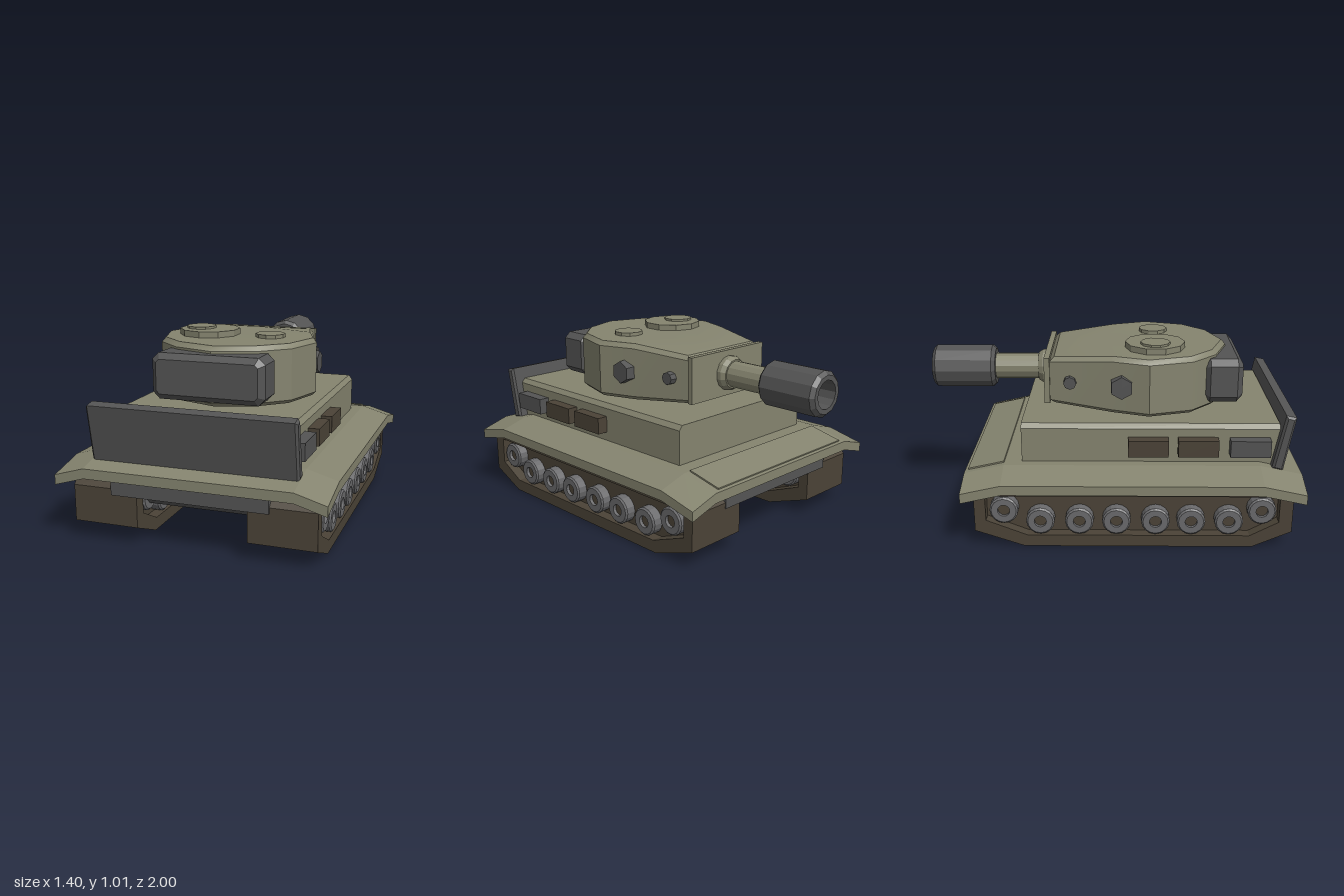
import * as THREE from 'three';
import { toCreasedNormals } from 'three/addons/utils/BufferGeometryUtils.js';

const mat = (color) => new THREE.MeshStandardMaterial({ color, flatShading: true });

export function createModel() {
  const model = new THREE.Group();
  const olive = mat(0x85846f), grey = mat(0x545454), brown = mat(0x4b4337), steel = mat(0x6a6a6c);

  const add = (name, geo, material, x = 0, y = 0, z = 0, parent = model) => {
    const mesh = new THREE.Mesh(geo, material);
    mesh.name = name;
    mesh.position.set(x, y, z);
    parent.add(mesh);
    return mesh;
  };
  const pts = (list) => list.map(([a, b]) => new THREE.Vector2(a, b));

  // Extrudes a (z, y) side profile across x, centred, with optional hole and bevel
  const sideExtrude = (outline, width, hole, bevel = 0) => {
    const shape = new THREE.Shape(pts(outline));
    if (hole) shape.holes.push(new THREE.Path(pts(hole)));
    return new THREE.ExtrudeGeometry(shape, {
      depth: width - 2 * bevel, bevelEnabled: bevel > 0, bevelSegments: 1,
      bevelSize: bevel, bevelThickness: bevel, bevelOffset: -bevel,
    }).translate(0, 0, bevel - width / 2).rotateY(-Math.PI / 2);
  };
  // Turned part along -z, from [radius, distance] pairs
  const turnedZ = (profile, sides) => new THREE.LatheGeometry(pts(profile), sides).rotateX(-Math.PI / 2);

  // Tracks: a band around a recessed panel, with wheels on both faces
  const band = [[0.95, 0.28], [0.89, 0.345], [-0.65, 0.345], [-0.715, 0.28], [-0.715, 0.09],
    [-0.455, 0], [0.745, 0], [0.95, 0.09]];
  const well = [[0.88, 0.29], [0.88, 0.145], [0.73, 0.065], [-0.44, 0.065], [-0.655, 0.15], [-0.655, 0.29]];
  const wheelSpots = [[0.79, 0.205], [0.62, 0.143], [0.422, 0.143], [0.235, 0.143], [0.03, 0.143],
    [-0.165, 0.143], [-0.37, 0.143], [-0.56, 0.205]];
  const trackWidth = 0.345;
  for (const [label, cx] of [['left', 0.4725], ['right', -0.4475]]) {
    const track = new THREE.Group();
    track.name = label + 'Track';
    track.position.x = cx;
    model.add(track);
    add('trackBand', sideExtrude(band, trackWidth, well), brown, 0, 0, 0, track);
    add('trackPanel', sideExtrude(well, trackWidth - 0.12), brown, 0, 0, 0, track);
    for (const side of [1, -1]) {
      const turn = -side * Math.PI / 2;
      const tyre = new THREE.LatheGeometry(
        pts([[0.075, 0], [0.075, 0.05], [0.066, 0.058], [0.032, 0.058], [0.032, 0.035]]), 16).rotateZ(turn);
      const hub = new THREE.CylinderGeometry(0.033, 0.033, 0.04, 12).translate(0, 0.02, 0).rotateZ(turn);
      for (const [z, y] of wheelSpots) {
        add('wheel', tyre, steel, side * (trackWidth / 2 - 0.06), y, z, track);
        add('wheelHub', hub, brown, side * (trackWidth / 2 - 0.06), y, z, track);
      }
    }
  }

  // Hull: narrow belly with sloped ends, wider box above it
  add('belly', sideExtrude([[0.88, 0.36], [0.88, 0.25], [0.8, 0.17], [-0.53, 0.17], [-0.69, 0.25], [-0.69, 0.36]], 0.62), grey);
  add('upperHull', new THREE.BoxGeometry(0.82, 0.11, 1.68), grey, 0, 0.305, 0.12);

  // Fender deck: a plate with all four edges bent downward
  const deck = new THREE.BoxGeometry(3, 1, 3, 3, 1, 3);
  const xs = [-0.7, -0.54, 0.54, 0.7], zs = [-0.77, -0.56, 0.78, 1];
  const p = deck.attributes.position;
  for (let i = 0; i < p.count; i++) {
    const a = Math.round(p.getX(i) + 1.5), b = Math.round(p.getZ(i) + 1.5);
    const drop = (a % 3 ? 0 : 0.047) + (b % 3 ? 0 : 0.047);
    p.setXYZ(i, xs[a], (p.getY(i) > 0 ? 0.432 : 0.38) - drop, zs[b]);
  }
  add('fenderDeck', deck, olive);
  const slopePanel = add('slopePanel', new THREE.BoxGeometry(1.01, 0.012, 0.195), olive, 0, 0.412, -0.657);
  slopePanel.rotation.x = -Math.atan2(0.047, 0.21);

  // Superstructure with a chamfered roof edge
  const cabin = new THREE.Shape(pts([[-0.485, 0.4], [0.485, 0.4], [0.485, 0.615], [0.465, 0.64], [-0.465, 0.64], [-0.485, 0.615]]));
  add('superstructure', new THREE.ExtrudeGeometry(cabin, { depth: 1.35, bevelEnabled: false }), olive, 0, 0, -0.47);

  // Leaning end plate
  add('endPlate', sideExtrude([[0.952, 0.695], [0.898, 0.707], [0.84, 0.415], [0.898, 0.4]], 1.08, null, 0.012), grey);

  // Stowage boxes along both sides
  for (const side of [1, -1]) {
    [[0.725, grey], [0.455, brown], [0.195, brown]].forEach(([z, m]) =>
      add('sideBox', new THREE.BoxGeometry(0.09, 0.09, 0.21), m, side * 0.5, 0.525, z));
  }

  // Turret: one footprint stacked in rings, thinner toward the gun
  const half = [[0.27, -0.33], [0.36, 0], [0.43, 0.2], [0.36, 0.43], [0.22, 0.56]];
  const foot = [...half, [0, 0.635], ...half.slice().reverse().map(([x, z]) => [-x, z])];
  const n = foot.length;
  const levels = [[0.655, 0.95], [0.675, 1], [0.94, 1], [0.965, 0.95]];
  const verts = [];
  for (const [y, s] of levels) {
    for (const [x, z] of foot) {
      const squeeze = z < -0.1 ? (y > 0.8 ? -0.028 : 0.025) : 0;
      verts.push(x * s, y + squeeze, 0.15 + (z - 0.15) * s);
    }
  }
  verts.push(0, 0.655, -0.12, 0, 0.965, -0.12);
  const index = [], low = 4 * n, high = low + 1;
  for (let i = 0; i < n; i++) {
    const j = (i + 1) % n;
    for (let k = 0; k < 3; k++) {
      const a = k * n + i, b = k * n + j;
      index.push(a, a + n, b, b, a + n, b + n);
    }
    index.push(low, i, j, high, 3 * n + j, 3 * n + i);
  }
  const turret = new THREE.BufferGeometry();
  turret.setAttribute('position', new THREE.Float32BufferAttribute(verts, 3));
  turret.setIndex(index);
  add('turret', toCreasedNormals(turret, 0.5), new THREE.MeshStandardMaterial({ color: 0x85846f }));
  add('turretRing', new THREE.CylinderGeometry(0.19, 0.19, 0.04, 20), olive, 0, 0.645, 0.08);

  // Ports on the turret cheeks
  for (const side of [1, -1]) {
    const port = (name, r, sides, x, z) =>
      add(name, new THREE.CylinderGeometry(r * 0.9, r, 0.1, sides).rotateY(Math.PI / 2).rotateZ(-side * Math.PI / 2),
        grey, side * x, 0.81, z);
    port('largePort', 0.068, 6, 0.362, 0.055);
    port('smallPort', 0.038, 8, 0.28, -0.22);
  }

  // Storage bin on the turret, chamfered all round
  const bin = new THREE.Shape(pts([[-0.265, 0.69], [0.265, 0.69], [0.3, 0.725], [0.3, 0.895], [0.265, 0.928],
    [-0.265, 0.928], [-0.3, 0.895], [-0.3, 0.725]]));
  add('storageBin', new THREE.ExtrudeGeometry(bin, {
    depth: 0.145, bevelSegments: 1, bevelSize: 0.03, bevelThickness: 0.03, bevelOffset: -0.03,
  }), grey, 0, 0, 0.53);

  // Roof hatches
  const hatch = (name, r, sides, top, x) =>
    add(name, new THREE.CylinderGeometry(r, r, top - 0.94, sides), olive, x, (top + 0.94) / 2, 0.235);
  hatch('cupola', 0.163, 10, 0.997, -0.16);
  hatch('cupolaHatch', 0.08, 10, 1.009, -0.21);
  hatch('roofHatch', 0.08, 10, 0.984, 0.185);

  // Gun
  add('mantlet', new THREE.BoxGeometry(0.565, 0.25, 0.03), olive, 0, 0.81, -0.345);
  const gun = new THREE.Group();
  gun.name = 'gun';
  gun.position.y = 0.81;
  model.add(gun);
  add('collar', turnedZ([[0.095, 0.35], [0.095, 0.385], [0.08, 0.41], [0, 0.41]], 14), olive, 0, 0, 0, gun);
  add('barrel', turnedZ([[0.072, 0.35], [0.072, 0.68]], 14), olive, 0, 0, 0, gun);
  add('muzzle', turnedZ([[0, 0.65], [0.1, 0.65], [0.12, 0.67], [0.12, 0.98], [0.1, 1], [0.075, 1], [0.07, 0.9], [0, 0.9]], 12),
    grey, 0, 0, 0, gun);

  return model;
}
